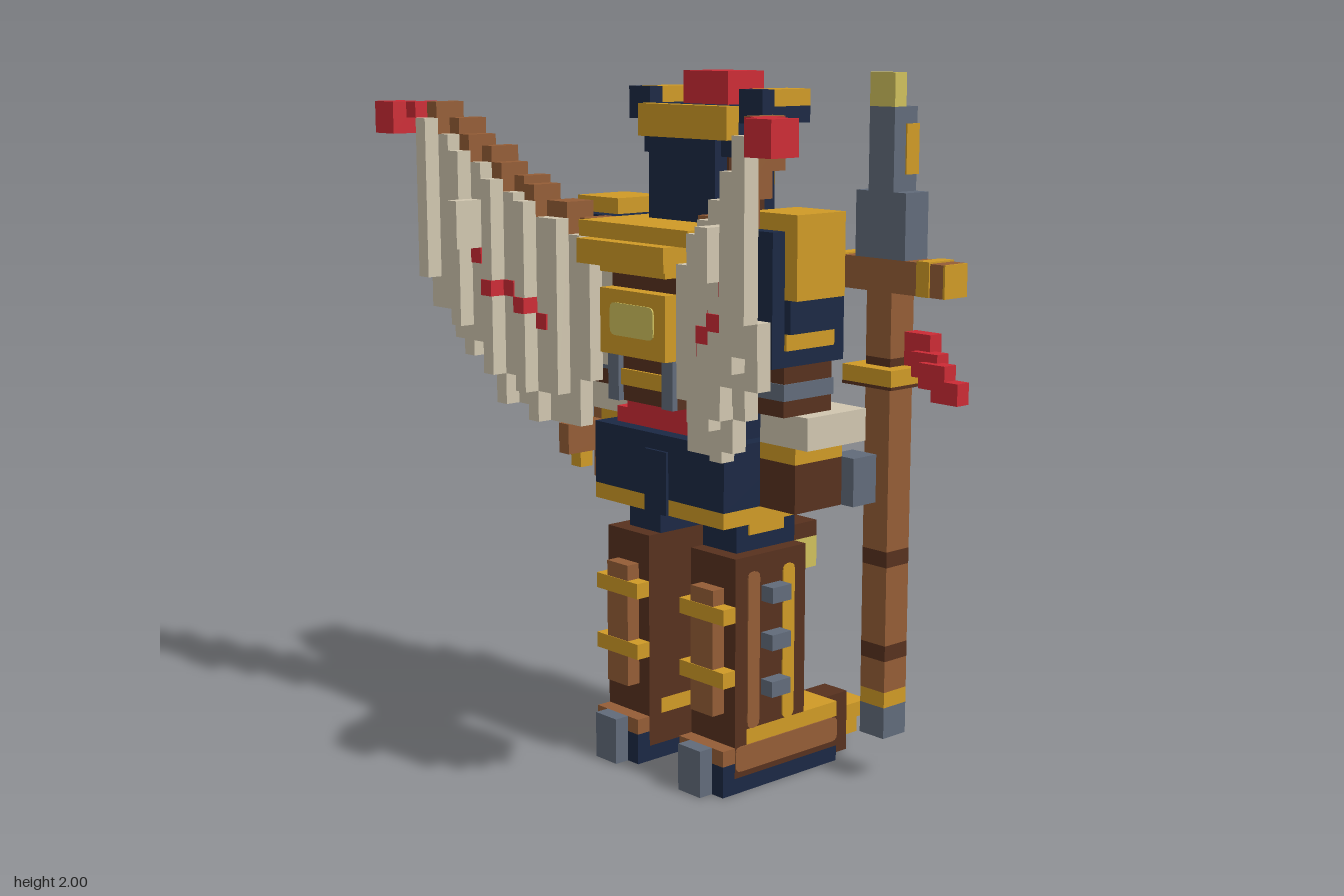
import * as THREE from 'three';

const U = 1 / 22; // one block
const mat = (name, color) => {
  const m = new THREE.MeshStandardMaterial({ color });
  m.name = name;
  return m;
};
const navy = mat('navy', 0x1b2844), gold = mat('gold', 0xcf9a26), dark = mat('dark brown', 0x57311e),
  tan = mat('light brown', 0x945d36), bone = mat('bone', 0xd0c6af), red = mat('red', 0xcc2b35),
  steel = mat('steel', 0x616b7a), pale = mat('pale gold', 0xcfc05c);

export function createModel() {
  const root = new THREE.Group();
  root.name = 'wingedWarrior';
  let part = root;
  const group = (name) => {
    part = new THREE.Group();
    part.name = name;
    root.add(part);
  };
  // Block given by its limits in block units
  const box = (name, m, x0, x1, y0, y1, z0, z1) => {
    const g = new THREE.BoxGeometry((x1 - x0) * U, (y1 - y0) * U, (z1 - z0) * U);
    const mesh = new THREE.Mesh(g, m);
    mesh.position.set((x0 + x1) * U / 2, (y0 + y1) * U / 2, (z0 + z1) * U / 2);
    mesh.name = name;
    part.add(mesh);
  };
  const pair = (name, m, x0, x1, ...rest) => {
    box(name, m, x0, x1, ...rest);
    box(name, m, -x1, -x0, ...rest);
  };
  // Thin rounded inlay centred on c, facing 'x' or 'z'
  const inlay = (name, m, axis, w, h, c) => {
    const r = 0.45 * U, a = w * U / 2, b = h * U / 2, s = new THREE.Shape();
    s.moveTo(-a + r, -b);
    s.lineTo(a - r, -b); s.quadraticCurveTo(a, -b, a, -b + r);
    s.lineTo(a, b - r); s.quadraticCurveTo(a, b, a - r, b);
    s.lineTo(-a + r, b); s.quadraticCurveTo(-a, b, -a, b - r);
    s.lineTo(-a, -b + r); s.quadraticCurveTo(-a, -b, -a + r, -b);
    const g = new THREE.ExtrudeGeometry(s, { depth: 0.008, bevelEnabled: false, curveSegments: 3 });
    g.translate(0, 0, -0.004);
    if (axis === 'x') g.rotateY(Math.PI / 2);
    const mesh = new THREE.Mesh(g, m);
    mesh.position.set(c[0] * U, c[1] * U, c[2] * U);
    mesh.name = name;
    part.add(mesh);
  };

  group('legs');
  pair('sole', navy, 2, 6, 0, 1, -7, 3);
  pair('heel', navy, 2, 6, 1, 2, 2, 3);
  pair('bootBody', dark, 2, 6, 1, 3, -7, 2);
  pair('bootTrim', tan, 2, 6, 2, 3, 2, 3);
  pair('heelCap', steel, 3, 5, 0, 3, 3, 4);
  pair('bootTop', gold, 2, 6, 3, 4, -7, 1);
  pair('toe', dark, 3, 5, 0, 4, -9, -7);
  pair('toeCurl', gold, 3, 5, 2, 3, -11, -9);
  pair('toeClaw', gold, 3, 5, 1, 2, -10, -9);
  pair('shin', dark, 2, 6, 4, 15, -4, 2);
  pair('ankle', dark, 2, 6, 3, 4, 1, 2);
  pair('calfPlate', tan, 3, 5, 5, 13, 2, 2.95);
  for (const y of [7, 11]) pair('calfBand', gold, 2, 6, y, y + 1, 2, 3);
  for (const y of [6, 9, 12]) pair('stud', steel, 6, 7, y, y + 1, -1.8, -0.2);
  pair('kneeTop', dark, 3, 5, 15, 16, -6, -4);
  pair('kneeSpike', pale, 3, 5, 13, 15, -6, -4);
  pair('kneeTrim', gold, 3, 5, 12, 13, -5, -4);
  for (const s of [-1, 1]) {
    inlay('bootInlay', tan, 'x', 9, 1.6, [s * 6, 2.2, -2.5]);
    inlay('legStripe', tan, 'x', 1, 10, [s * 6, 9, 0.5]);
    inlay('legStripe', gold, 'x', 1, 10, [s * 6, 9, -2.5]);
    inlay('shinStripe', tan, 'z', 1, 8, [s * 4, 8, -4]);
  }
  pair('thigh', navy, 2, 5, 15, 17, -4, 1);
  pair('thighBand', gold, 4, 5.1, 16, 17, -3, 0);

  group('hips');
  box('skirt', navy, -6, 6, 18, 22, -4, 3);
  box('skirtHem', gold, -6, 6, 17, 18, -4, 3);
  box('rearFlap', navy, -1, 1, 17, 21, 3, 3.2);
  box('waist', navy, -5, 5, 22, 24, -4, 1);
  box('sash', red, -5, 5, 22, 23, 1, 2);
  box('sashKnot', red, -4, 4, 23, 24, 1, 2);
  pair('belt', red, 2, 5, 23, 25, -5, -4);
  box('buckle', gold, -2, 2, 22, 25, -6, -4);
  box('tabard', bone, -1, 1, 17, 22, -5, -4);
  pair('tasset', bone, 2, 5, 19, 23, -5, -4);
  pair('tassetTrim', gold, 2, 5, 18, 19, -5, -4);

  group('torso');
  box('body', navy, -5, 5, 24, 34, -4, 2);
  box('shoulderYoke', gold, -5, 5, 34, 35, -4, 1);
  pair('chestCollar', gold, 2, 4, 33, 35, -5, -4);
  box('chestPlate', bone, -4, 4, 27, 33, -6, -4);
  box('chestGem', pale, -1, 1, 28.5, 31.5, -7, -6);
  box('gorget', red, -2, 2, 32, 34, -6.1, -4);
  box('midriff', gold, -3, 3, 25, 27, -5, -4);
  for (const y of [28, 30]) pair('rivet', gold, 2, 3, y, y + 1, -6.1, -6);

  group('backpack');
  box('pack', dark, -3, 3, 24, 32, 2, 4);
  pair('strap', steel, 2, 3, 24, 27, 4, 4.4);
  box('packBand', gold, -2, 2, 25, 26, 4, 4.2);
  box('packBox', gold, -3, 3, 27, 31, 4, 5);
  inlay('packPlate', pale, 'z', 4, 2, [0, 29.2, 5]);
  box('collarLow', gold, -4, 4, 32.5, 34, 2, 6);
  box('collarBase', gold, -3, 3, 32, 32.5, 2, 5);
  box('collarTop', gold, -5, 5, 34, 35, 1, 5);

  group('head');
  box('skull', navy, -3, 3, 35, 40, -4, 1);
  box('helmet', navy, -4, 4, 40, 42, -4, 0);
  box('helmetBand', gold, -4, 4, 40, 42, 0, 1);
  pair('earBase', navy, 3, 4, 39, 40, -3, 0.5);
  pair('ear', navy, 4, 6, 41, 42, -4, 0);
  pair('earTip', navy, 4, 6, 42, 43, -1, 0);
  pair('browFlare', gold, 4, 6, 42, 43, -4, -1);
  pair('browRidge', gold, 2, 4, 40.5, 42.1, -4.5, -3);
  box('crest', red, -2, 2, 42, 44, -4, -1);
  box('browGem', red, -1, 1, 41.5, 43, -5, -4);
  box('brow', gold, -2, 2, 40, 41.5, -5, -4);
  box('nose', gold, -1, 1, 39, 40, -5, -4);
  box('jaw', gold, -2, 2, 37, 38, -5, -4);
  pair('eye', bone, 1, 2, 38.5, 39.5, -4.1, -4);
  pair('cheekGuard', dark, 3, 3.15, 35, 39, -3, 0);

  group('arms');
  pair('pauldron', navy, 5, 9, 27, 35, -4, 2);
  pair('pauldronPlate', gold, 6, 10, 31, 36, -3, 1);
  pair('pauldronSide', navy, 9, 9.5, 29, 31, -3, 1);
  pair('pauldronPanel', red, 6, 8, 30, 32.5, -4.06, -4);
  pair('armBand', gold, 5.5, 9.2, 28, 29, -3, 1);
  pair('upperArm', dark, 6, 9, 24, 27, -3, 1);
  pair('elbowBand', steel, 6, 9.1, 25, 26, -3.1, 1.1);
  box('leftCuff', bone, 6, 10, 22, 24, -5, 0);
  box('rightCuff', bone, -10, -6, 22, 24, -3, 0);
  pair('forearm', dark, 6, 9, 18, 21, -4, 0);
  pair('wristBand', gold, 6, 9, 21, 22, -4, 0);
  box('leftHand', steel, 8, 10, 18, 21, -6, -4);
  box('rightHand', steel, -9, -6, 16, 18, -4, -1);

  // Cross-shaped buckler on the right arm
  group('buckler');
  box('grip', dark, -10, -9, 18, 22, -5, -3);
  box('crossBar', tan, -11, -10, 19, 21, -6, 2);
  box('crossPost', tan, -11, -10, 17, 23, -3, -1);
  box('boss', gold, -11.1, -9.95, 19, 21, -3, -1);
  for (const z of [-5, 0]) for (const y of [18, 21]) box('corner', gold, -11, -10, y, y + 1, z, z + 1);

  group('staff');
  const bands = [[steel, 3, 5], [gold, 5, 6], [tan, 6, 8], [dark, 8, 9], [tan, 9, 14], [dark, 14, 15],
    [tan, 15, 26], [dark, 26, 27], [tan, 27, 31]];
  for (const [m, y0, y1] of bands) box('shaft', m, 9, 11, y0, y1, -8, -6);
  box('staffCollar', gold, 8, 12, 25.5, 26.5, -9, -5);
  box('collarRim', dark, 8, 12, 25.3, 25.5, -9, -5);
  box('crossGuard', tan, 6, 15, 31, 33, -8, -6);
  box('guardPlate', bone, 7, 13, 31.2, 32.8, -8.15, -8);
  for (const x of [6, 13]) box('guardRing', gold, x, x + 1, 31, 33.1, -8.1, -5.9);
  box('guardCap', gold, 15, 15.15, 31, 33, -8, -6);
  box('bladeBase', steel, 8, 12, 33, 37, -8, -6);
  box('blade', steel, 9, 11, 37, 42, -8, -6);
  box('bladeTip', pale, 9, 11, 42, 44, -7, -6);
  box('bladeInlay', gold, 9.2, 11.1, 38, 41, -8.1, -7);
  box('ribbon', red, 13, 15, 27, 29, -6, -5);
  box('ribbon', red, 14, 16, 26.5, 28, -5.5, -4.5);
  box('ribbon', red, 15, 17, 26, 27.5, -5, -4);
  box('ribbon', red, 16, 18, 25.3, 26.6, -5, -4);

  // Wings: one feather column per block of span, swept backward, tips curling in
  group('wings');
  const tops = [33, 34, 35, 36, 36, 37, 37.5, 38.3, 39.3, 40, 41, 42];
  const bottoms = [26, 25, 22, 22, 22, 22, 23, 23, 25, 26, 27, 29];
  const depth = (x) => Math.floor(2.2 + 0.5 * x);
  tops.forEach((top, i) => {
    const x = i + 3, z = depth(x), curl = x > 5 ? 1 : 0;
    pair('feather', bone, x, x + 1, bottoms[i] + 2, top - 1, z, z + 1);
    pair('featherTip', bone, x, x + 1, bottoms[i], bottoms[i] + 2, z - curl, z + 1 - curl);
    pair('wingSpine', tan, x, x + 1, top - 2, top, z - 2, z);
    pair('spineLip', tan, x, x + 1, top - 1, top, z, z + 0.1);
  });
  pair('featherRidge', bone, 11, 12, 33, 36, 8, 9.9);
  for (const [x, y] of [[11, 32], [10, 30], [9, 30], [8, 29], [7, 28]]) {
    const z = depth(x);
    pair('wingMark', red, x - 0.02, x + 1.02, y, y + 1, z - 0.1, z + 1.1);
  }
  pair('wingTipBase', red, 15, 16, 41, 42, 8, 10);
  pair('wingTip', red, 16, 18, 40, 42, 9, 11);
  pair('wingRoot', tan, 3, 5, 31, 33, 2, 3);

  return root;
}
